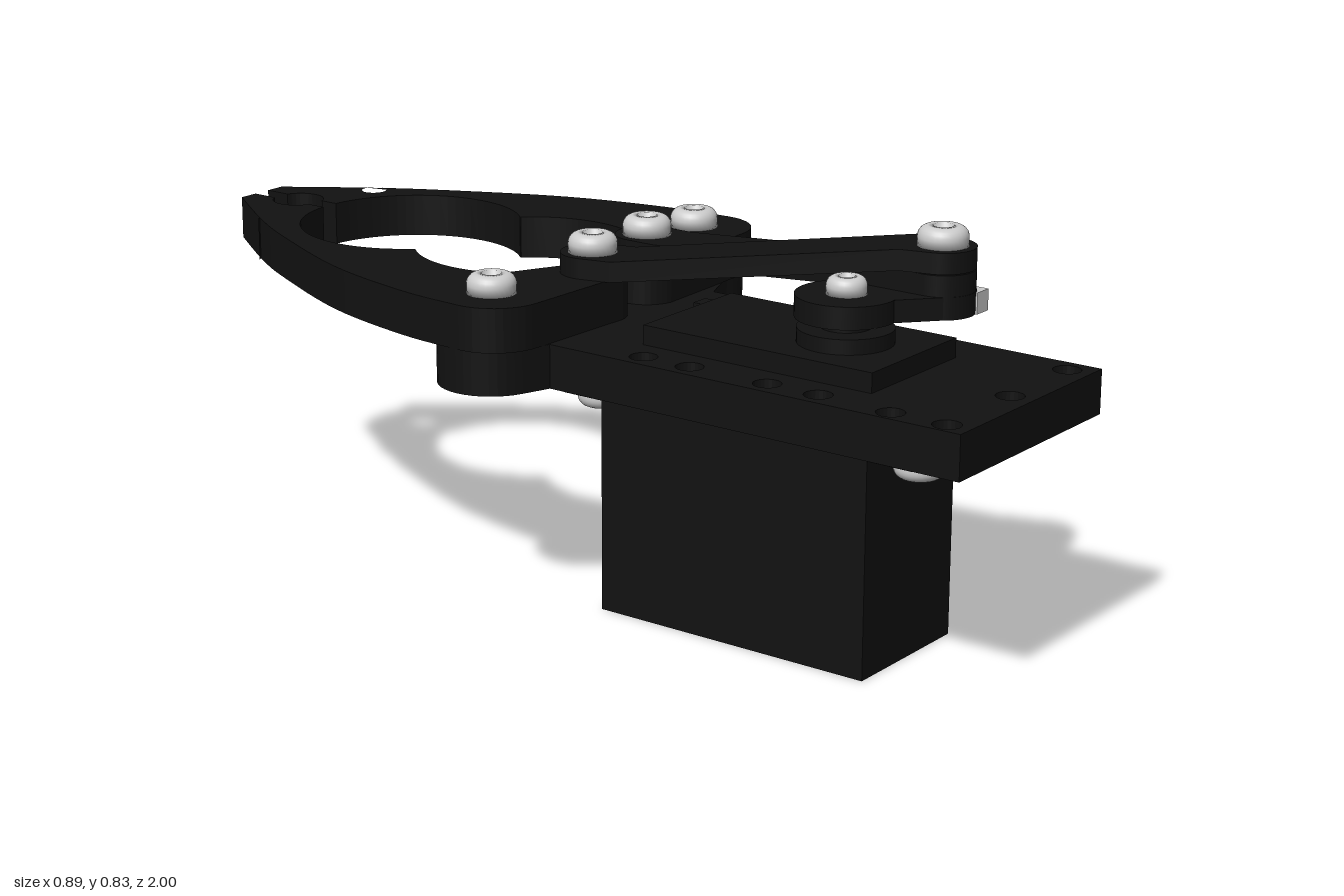
import * as THREE from 'three';

const black = new THREE.MeshStandardMaterial({ color: 0x111111 });
const steel = new THREE.MeshStandardMaterial({ color: 0xcccccc });

export function createModel() {
  const model = new THREE.Group();

  const add = (name, geo, mat = black, parent = model) => {
    const mesh = new THREE.Mesh(geo, mat);
    mesh.name = name;
    parent.add(mesh);
    return mesh;
  };
  // Box given by its minimum and maximum corners
  const box = (name, x0, x1, y0, y1, z0, z1, mat) =>
    add(name, new THREE.BoxGeometry(x1 - x0, y1 - y0, z1 - z0)
      .translate((x0 + x1) / 2, (y0 + y1) / 2, (z0 + z1) / 2), mat);
  const disc = (name, x, z, r, y0, y1, mat, sides = 40) =>
    add(name, new THREE.CylinderGeometry(r, r, y1 - y0, sides).translate(x, (y0 + y1) / 2, z), mat);
  // Points on an arc, angles in radians
  const arc = (cx, cy, r, a0, a1, n = 20) =>
    Array.from({ length: n + 1 }, (_, i) => {
      const a = a0 + (a1 - a0) * i / n;
      return new THREE.Vector2(cx + r * Math.cos(a), cy + r * Math.sin(a));
    });
  const pt = (x, y) => new THREE.Vector2(x, y);
  // Flat sheet from an outline drawn in (x, -z), with round holes [x, z, r]
  const sheet = (name, points, holes, y0, y1) => {
    const shape = new THREE.Shape(points);
    for (const [x, z, r] of holes)
      shape.holes.push(new THREE.Path().absarc(x, -z, r, 0, Math.PI * 2, true));
    const geo = new THREE.ExtrudeGeometry(shape, { depth: y1 - y0, bevelEnabled: false, curveSegments: 12 });
    return add(name, geo.rotateX(-Math.PI / 2).translate(0, y0, 0));
  };
  // Rounded screw head with a recessed socket
  const screw = (name, x, y, z, r = 0.05, h = 0.04, down = false) => {
    const profile = [pt(0, h * 0.5), pt(r * 0.4, h * 0.5), pt(r * 0.4, h), pt(r * 0.6, h),
      ...arc(r * 0.6, h * 0.45, 1, Math.PI / 2, 0, 6).map(p =>
        pt(r * 0.6 + (p.x - r * 0.6) * r * 0.4, h * 0.45 + (p.y - h * 0.45) * h * 0.55)),
      pt(r, 0), pt(0, 0)].reverse();
    const head = add(name, new THREE.LatheGeometry(profile, 28), steel);
    head.position.set(x, y, z);
    if (down) head.rotation.x = Math.PI;
  };

  // Base plate with two rounded ears and a V-shaped edge between them
  const holes = [[-0.275, 0.83, 0.028], [-0.275, 0.95, 0.028], [-0.055, 0.95, 0.028], [0.155, 0.95, 0.028]];
  for (const z of [0.26, 0.37, 0.55, 0.665])
    holes.push([-0.265, z, 0.028], [0.155, z, 0.028]);
  sheet('basePlate', [
    pt(-0.31, -1), pt(0.2, -1), pt(0.2, -0.09),
    ...arc(0.325, 0.06, 0.11, -1.75, 1.9), pt(0, 0.07),
    ...arc(-0.335, 0.06, 0.11, 1.24, 4.4), pt(-0.31, -0.065),
  ], holes, 0.48, 0.57);

  // Servo body, mounting flange and cable bump
  box('servoBody', -0.21, 0.1, 0, 0.48, 0.115, 0.74);
  box('servoTop', -0.2, 0.095, 0.48, 0.61, 0.21, 0.74);
  box('servoFlange', -0.21, 0.1, 0.44, 0.48, 0.02, 0.84);
  box('cableBump', 0.02, 0.06, 0.57, 0.6, 0.17, 0.21);
  for (const x of [-0.13, 0.017])
    for (const z of [0.055, 0.805]) screw('servoScrew', x, 0.44, z, 0.05, 0.038, true);

  // Servo shaft and horn
  const shaft = [-0.055, 0.585], tip = [0.085, 0.71];
  disc('shaftCollar', ...shaft, 0.095, 0.61, 0.64);
  disc('shaft', ...shaft, 0.05, 0.64, 0.66);
  box('shaftKey', -0.04, 0.01, 0.625, 0.65, 0.58, 0.64, steel);
  disc('hornHub', ...shaft, 0.1, 0.66, 0.705);
  disc('hornTip', ...tip, 0.067, 0.66, 0.705);
  const hornLength = Math.hypot(tip[0] - shaft[0], tip[1] - shaft[1]);
  const hornArm = add('hornArm', new THREE.BoxGeometry(hornLength, 0.045, 0.13));
  hornArm.position.set((shaft[0] + tip[0]) / 2, 0.6825, (shaft[1] + tip[1]) / 2);
  hornArm.rotation.y = -Math.atan2(tip[1] - shaft[1], tip[0] - shaft[0]);
  box('hornNut', 0.105, 0.145, 0.66, 0.703, 0.735, 0.778, steel);
  screw('hornScrew', shaft[0], 0.705, shaft[1], 0.04, 0.035);
  disc('linkPin', ...tip, 0.025, 0.66, 0.79);
  screw('linkScrew', tip[0], 0.79, tip[1]);

  // Sloped link: flat round ends joined by a sheared bar
  const link = (name, ex, ey0, ty0) => {
    const r = 0.066, t = 0.042;
    const group = new THREE.Group();
    group.name = name;
    group.position.set(tip[0], 0, tip[1]);
    group.rotation.y = -Math.atan2(-tip[1], ex - tip[0]);
    model.add(group);
    const L = Math.hypot(ex - tip[0], tip[1]);
    for (const [d, s, y] of [[0, 1, ty0], [L, -1, ey0]]) {
      add('linkEnd', new THREE.CylinderGeometry(r, r, t, 32).translate(d, y + t / 2, 0), black, group);
      add('linkFlat', new THREE.BoxGeometry(r, t, r * 2).translate(d + s * r / 2, y + t / 2, 0), black, group);
    }
    const bar = new THREE.BoxGeometry(L - 2 * r, t, r * 2).translate(L / 2, t / 2, 0);
    const p = bar.attributes.position;
    for (let i = 0; i < p.count; i++)
      p.setY(i, p.getY(i) + (p.getX(i) < L / 2 ? ty0 : ey0));
    bar.computeVertexNormals();
    add('linkBar', bar, black, group);
  };
  link('lowerLink', 0.09, 0.66, 0.705);
  link('upperLink', -0.09, 0.66, 0.749);

  // Gripper jaws, mirrored, with pivots
  const outer = new THREE.SplineCurve([pt(0.063, 1), pt(0.18, 0.83), pt(0.26, 0.69),
    pt(0.375, 0.44), pt(0.433, 0.21), pt(0.447, 0.05)]).getPoints(30);
  const jaw = [
    pt(0.02, 1), ...outer,
    ...arc(0.342, 0.045, 0.105, -0.1, -Math.PI / 2, 10),
    ...arc(0.09, 0, 0.07, -1.7, -4.1, 14),
    ...arc(0, 0.24, 0.235, -0.445, 0.75),
    ...arc(0, 0.563, 0.235, -0.75, 1.485, 28),
    ...arc(0, 0.89, 0.055, -1.2, 1.2, 14),
  ];
  for (const s of [1, -1]) {
    const side = s > 0 ? 'left' : 'right';
    sheet(side + 'Jaw', jaw.map(p => pt(p.x * s, p.y)), [[0.165 * s, -0.815, 0.027]], 0.57, 0.66);
    screw(side + 'PivotScrew', 0.335 * s, 0.66, -0.06);
    disc(side + 'PivotEnd', 0.328 * s, -0.06, 0.026, 0.465, 0.485, black, 24);
    screw(side + 'JawLinkScrew', 0.09 * s, 0.702, 0);
  }
  return model;
}
